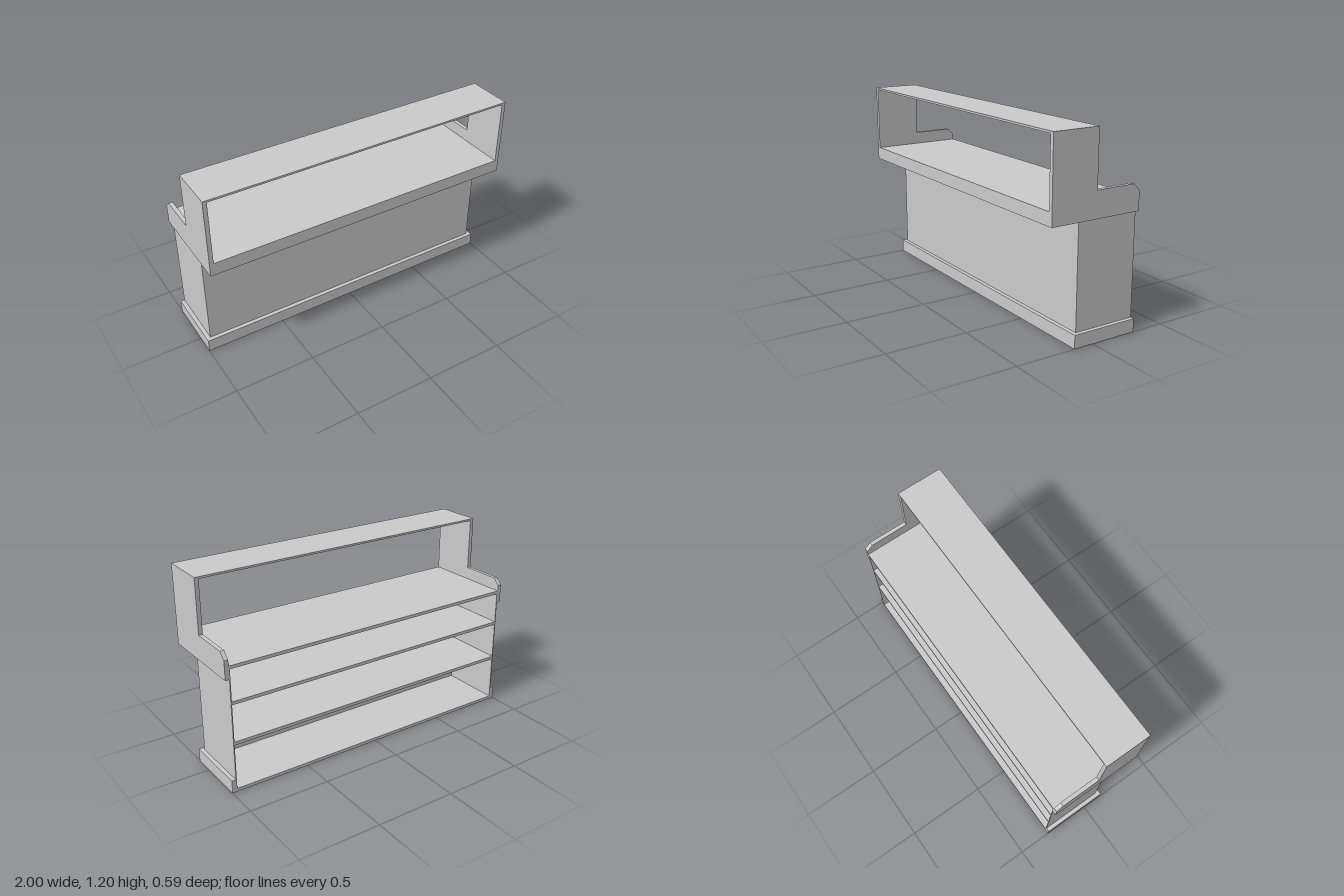
import * as THREE from 'three';

export function createModel() {
  const model = new THREE.Group();
  model.name = 'barCounter';
  const material = new THREE.MeshStandardMaterial({ color: 0xcccccc, flatShading: true });

  // Box given by its minimum and maximum corners
  function board(name, [x0, y0, z0], [x1, y1, z1]) {
    const mesh = new THREE.Mesh(new THREE.BoxGeometry(x1 - x0, y1 - y0, z1 - z0), material);
    mesh.position.set((x0 + x1) / 2, (y0 + y1) / 2, (z0 + z1) / 2);
    mesh.name = name;
    model.add(mesh);
  }

  const back = -0.293, bodyFront = 0.1, topFront = 0.293;
  const inner = 0.975, wall = 0.006;

  // Stepped end panels with a chamfered rear corner, profile drawn in (z, y)
  const profile = new THREE.Shape([
    [topFront, 0.705], [topFront, 1.197], [0, 1.197], [0, 0.862],
    [-0.252, 0.862], [back, 0.822], [back, 0.705],
  ].map(([z, y]) => new THREE.Vector2(-z, y)));
  const panel = new THREE.ExtrudeGeometry(profile, { depth: 1 - inner, bevelEnabled: false });
  panel.rotateY(Math.PI / 2);
  for (const [name, x] of [['leftEndPanel', inner], ['rightEndPanel', -1]]) {
    const mesh = new THREE.Mesh(panel, material);
    mesh.position.x = x;
    mesh.name = name;
    model.add(mesh);
  }

  // Raised shelf, worktop and the apron below its front edge
  board('raisedShelf', [-inner, 1.185, 0], [inner, 1.197, topFront]);
  board('worktop', [-inner, 0.765, back], [inner, 0.785, topFront]);
  board('frontApron', [-inner, 0.705, topFront - 0.02], [inner, 0.765, topFront]);

  // Cabinet body, open at the back
  board('bodyFront', [-inner, 0, bodyFront - wall], [inner, 0.765, bodyFront]);
  for (const [name, x] of [['bodyLeft', inner - wall], ['bodyRight', -inner]]) {
    board(name, [x, 0, back], [x + wall, 0.765, bodyFront - wall]);
  }
  for (const [name, y] of [['floorBoard', 0], ['lowerShelf', 0.3], ['upperShelf', 0.55]]) {
    board(name, [-inner + wall, y, back], [inner - wall, y + 0.02, bodyFront - wall]);
  }

  // Plinth around the front and sides
  board('plinthFront', [-1, 0, bodyFront], [1, 0.08, 0.125]);
  for (const [name, x] of [['plinthLeft', inner], ['plinthRight', -1]]) {
    board(name, [x, 0, back], [x + 1 - inner, 0.08, bodyFront]);
  }

  return model;
}
